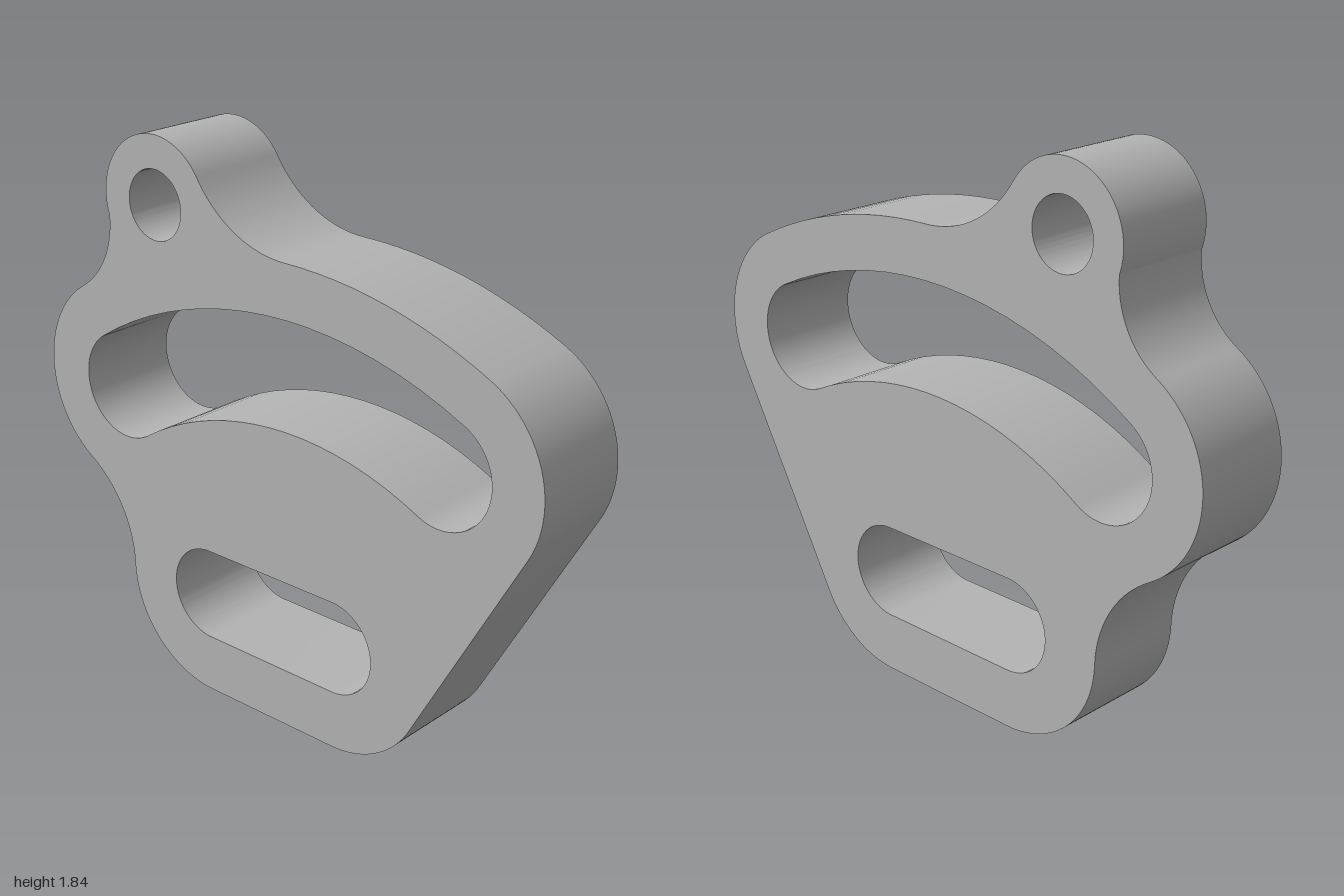
import * as THREE from 'three';
import { toCreasedNormals } from 'three/addons/utils/BufferGeometryUtils.js';

const V = (x, y) => new THREE.Vector2(x, y);
const DEPTH = 0.356;

// Point at a distance from c, heading towards t
const toward = (c, t, d) => c.clone().add(t.clone().sub(c).setLength(d));

// One of the two meeting points of two circles (side 1 = left of c1 -> c2)
function meet(c1, r1, c2, r2, side) {
  const d = c1.distanceTo(c2);
  const u = c2.clone().sub(c1).divideScalar(d);
  const a = (d * d + r1 * r1 - r2 * r2) / (2 * d);
  const h = side * Math.sqrt(Math.max(0, r1 * r1 - a * a));
  return V(c1.x + u.x * a - u.y * h, c1.y + u.y * a + u.x * h);
}

// Points on a circle from the heading of p to the heading of q
function arc(c, r, p, q, ccw = true) {
  const a = Math.atan2(p.y - c.y, p.x - c.x);
  let sweep = Math.atan2(q.y - c.y, q.x - c.x) - a;
  if (ccw && sweep <= 0) sweep += 2 * Math.PI;
  if (!ccw && sweep >= 0) sweep -= 2 * Math.PI;
  const n = Math.max(12, Math.ceil(Math.abs(sweep) / 0.06));
  return Array.from({ length: n + 1 }, (_, i) => {
    const t = a + (sweep * i) / n;
    return V(c.x + r * Math.cos(t), c.y + r * Math.sin(t));
  });
}

// Join arcs into a closed loop, dropping doubled points
function loop(...arcs) {
  const pts = arcs.flat();
  return pts.filter((p, i) => p.distanceTo(pts[(i + 1) % pts.length]) > 0.001);
}

export function createModel() {
  const group = new THREE.Group();
  group.name = 'slottedPlate';
  const grey = new THREE.MeshStandardMaterial({ color: 0xb3b3b3 });
  grey.name = 'grey';

  // Centres of the rounded corners, the ear and the large arch
  const r = 0.353;
  const lobeL = V(-0.647, 0.99), lobeR = V(0.647, 1.065);
  const footL = V(-0.28, 0.355), footR = V(0.245, 0.355), rFoot = 0.355;
  const ear = V(-0.48, 1.625), rEar = 0.22;
  const arch = V(0.0665, -0.12), rArch = arch.distanceTo(lobeR);

  // Hollow blends between the convex corners
  const rWaist = 0.4, rNeck = 0.29, rShoulder = 0.42;
  const waist = meet(lobeL, r + rWaist, footL, rFoot + rWaist, -1);
  const neck = toward(lobeL, lobeL.clone().add(V(-0.514, 0.857)), r + rNeck);
  const kink = meet(neck, rNeck, ear, rEar, -1);
  const shoulder = meet(arch, rArch + r + rShoulder, ear, rEar + rShoulder, -1);

  // Slanted right edge runs square to this direction
  const slant = V(lobeR.y - footR.y, footR.x - lobeR.x);
  const archEnd = toward(arch, lobeR, rArch + r);

  const plate = new THREE.Shape(loop(
    arc(footL, rFoot, waist, V(footL.x, 0)),
    arc(footR, rFoot, V(footR.x, 0), footR.clone().add(slant)),
    arc(lobeR, r, lobeR.clone().add(slant), archEnd),
    arc(arch, rArch + r, archEnd, shoulder),
    arc(shoulder, rShoulder, arch, ear, false),
    arc(ear, rEar, shoulder, kink),
    arc(neck, rNeck, kink, lobeL, false),
    arc(lobeL, r, neck, waist),
    arc(waist, rWaist, lobeL, footL, false),
  ));

  // Curved slot
  const w = 0.178;
  const outL = toward(arch, lobeL, rArch + w), inL = toward(arch, lobeL, rArch - w);
  const outR = toward(arch, lobeR, rArch + w), inR = toward(arch, lobeR, rArch - w);
  const curvedSlot = loop(
    arc(arch, rArch + w, outR, outL),
    arc(lobeL, w, outL, inL),
    arc(arch, rArch - w, inL, inR, false),
    arc(lobeR, w, inR, outR),
  );

  // Straight slot
  const up = V(0, 1), down = V(0, -1);
  const straightSlot = loop(
    arc(footL, 0.157, footL.clone().add(up), footL.clone().add(down)),
    arc(footR, 0.157, footR.clone().add(down), footR.clone().add(up)),
  );

  // Round hole in the ear
  const right = ear.clone().add(V(1, 0));
  const earHole = loop(arc(ear, 0.113, right, right));

  plate.holes = [curvedSlot, straightSlot, earHole].map((p) => new THREE.Path(p));

  const geometry = new THREE.ExtrudeGeometry(plate, { depth: DEPTH, bevelEnabled: false });
  geometry.translate(0, 0, -DEPTH / 2);
  const mesh = new THREE.Mesh(toCreasedNormals(geometry, 0.2), grey);
  mesh.name = 'plate';
  group.add(mesh);
  return group;
}
